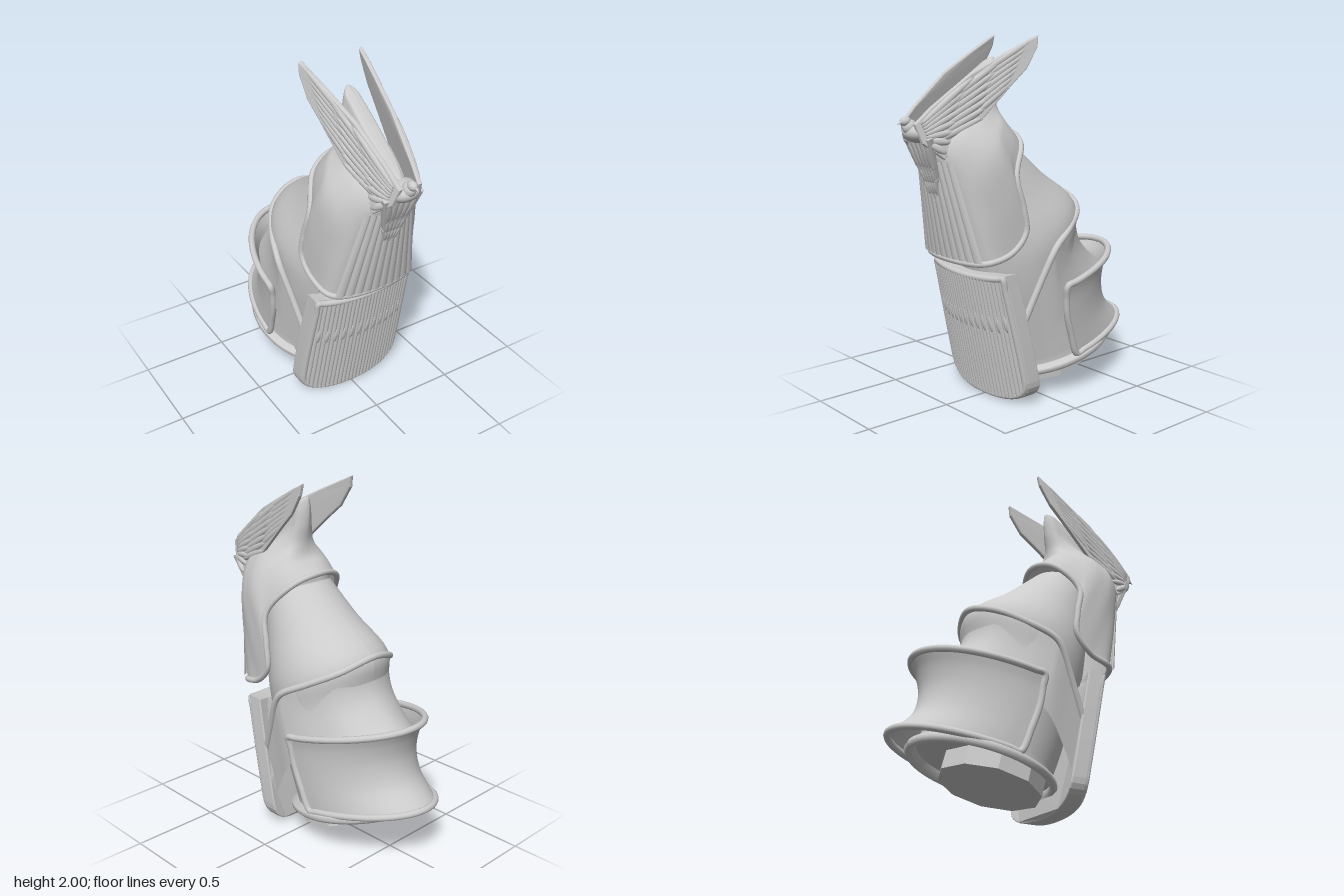
import * as THREE from 'three';
import { mergeGeometries } from 'three/addons/utils/BufferGeometryUtils.js';

const V = (x, y, z) => new THREE.Vector3(x, y, z);
const lerp = THREE.MathUtils.lerp;
const mat = new THREE.MeshStandardMaterial({ color: 0xcccccc, side: THREE.DoubleSide });
const flat = new THREE.MeshStandardMaterial({ color: 0xcccccc, flatShading: true });

function add(parent, name, geo, material = mat) {
  const m = new THREE.Mesh(geo, material);
  m.name = name;
  parent.add(m);
  return m;
}

// Grid surface from a rule fn(u, v) -> Vector3
function grid(nu, nv, fn) {
  const pos = [], idx = [];
  for (let j = 0; j <= nv; j++)
    for (let i = 0; i <= nu; i++) {
      pos.push(...fn(i / nu, j / nv).toArray());
      if (i < nu && j < nv) {
        const a = j * (nu + 1) + i, c = a + nu + 1;
        idx.push(a, a + 1, c, a + 1, c + 1, c);
      }
    }
  const g = new THREE.BufferGeometry();
  g.setAttribute('position', new THREE.Float32BufferAttribute(pos, 3));
  g.setIndex(idx);
  g.computeVertexNormals();
  return g;
}

// Mirrors a half rail (back centre to front) into a full curve
function rail(half, closed) {
  const neg = p => V(-p.x, p.y, p.z);
  const pts = closed
    ? [...half, ...half.slice(1, -1).reverse().map(neg)]
    : [...half.slice(1).reverse().map(neg), ...half];
  return new THREE.CatmullRomCurve3(pts, closed, 'centripetal');
}

// Smooth surface through rails listed from top to bottom
function loft(rails, nu = 72, nv = 24) {
  const cols = [];
  for (let i = 0; i <= nu; i++)
    cols.push(new THREE.CatmullRomCurve3(rails.map(r => r.getPoint(i / nu))));
  return grid(nu, nv, (u, v) => cols[Math.round(u * nu)].getPoint(v));
}

const tube = (curve, r, closed, n = 120) => new THREE.TubeGeometry(curve, n, r, 10, closed);

// Tilted elliptic half ring; f and b are front and back [z, y]
function arc(f, b, w, sweep) {
  const half = [];
  for (let k = 0; k <= 8; k++) {
    const a = k / 8 * sweep;
    const t = sweep > 2 ? (1 - Math.cos(a)) / 2 : 1 - Math.cos(a);
    half.push(V(w * Math.sin(a), lerp(b[1], f[1], t), lerp(b[0], f[0], t)));
  }
  return half;
}

// Row of raised flutes on a surface at(u, v), u from -1 to 1
function fluted(n, amp, at) {
  return grid(n * 8, 24, (s, v) => {
    const p = at(s * 2 - 1, v);
    p.z += amp * Math.sqrt(Math.abs(Math.sin(Math.PI * n * s)));
    return p;
  });
}

function mirrored(geo) {
  const g = geo.clone().scale(-1, 1, 1);
  for (const a of Object.values(g.attributes))
    for (let i = 0; i < a.count; i += 3)
      for (let k = 0; k < a.itemSize; k++) {
        const t = a.getComponent(i + 1, k);
        a.setComponent(i + 1, k, a.getComponent(i + 2, k));
        a.setComponent(i + 2, k, t);
      }
  return g;
}

// Wing blade, leaning outwards to the back and towards its lower edge
function wingGeometry() {
  const wx = (z, y) => 0.182 - 0.175 * z + 0.13 * Math.max(0, 2 - 0.62 * z - y);
  const outline = [[.71, 1.56], [.62, 1.64], [.4, 1.8], [.2, 1.9], [.01, 1.99], [.02, 1.94], [.09, 1.83],
    [.18, 1.75], [.37, 1.57], [.5, 1.48], [.58, 1.39], [.68, 1.47]];
  const shape = new THREE.Shape(outline.map(([z, y]) => new THREE.Vector2(-z, y)));
  const blade = new THREE.ExtrudeGeometry(shape, { depth: 0.014, bevelSize: 0.008, bevelThickness: 0.006, bevelSegments: 2 });
  const p = blade.attributes.position;
  for (let i = 0; i < p.count; i++) {
    const z = -p.getX(i), y = p.getY(i);
    p.setXYZ(i, wx(z, y) + p.getZ(i) - 0.007, y, z);
  }
  blade.computeVertexNormals();
  const parts = [blade];
  // Fan of feathers between two start and two end points, all [z, y]
  const fan = (n, s0, s1, e0, e1, width, lift) => {
    for (let i = 0; i < n; i++) {
      const t = i / (n - 1);
      const pt = (a, b) => {
        const z = lerp(a[0], b[0], t), y = lerp(a[1], b[1], t);
        return V(wx(z, y) + lift, y, z);
      };
      const a = pt(s0, s1), b = pt(e0, e1);
      const d = b.clone().sub(a), len = d.length() / 2;
      d.normalize();
      const n1 = V(1, 0, 0).addScaledVector(d, -d.x).normalize(), n2 = d.clone().cross(n1);
      const m = new THREE.Matrix4().makeBasis(d.multiplyScalar(len), n1.multiplyScalar(0.015), n2.multiplyScalar(width));
      m.setPosition(a.add(b).multiplyScalar(0.5));
      parts.push(new THREE.SphereGeometry(1, 16, 10).applyMatrix4(m));
    }
  };
  fan(7, [.46, 1.74], [.42, 1.58], [.01, 1.99], [.17, 1.76], .02, .004);
  fan(7, [.66, 1.59], [.62, 1.47], [.21, 1.88], [.36, 1.58], .021, .01);
  fan(8, [.69, 1.56], [.66, 1.47], [.39, 1.79], [.57, 1.41], .02, .014);
  return mergeGeometries(parts.map(g => (g.index ? g.toNonIndexed() : g)));
}

export function createModel() {
  const root = new THREE.Group();

  // Inner body (the doubled ring keeps its lower edge sharp) and the plug under it
  const ring = (f, b, w) => rail(arc(f, b, w, Math.PI), true);
  const bottom = ring([.13, .15], [-.59, .32], .3);
  add(root, 'body', loft([
    ring([.42, 1.3], [.08, 1.43], .2), ring([.38, 1.05], [-.12, 1.26], .26), ring([.34, .8], [-.345, 1.085], .33),
    ring([.29, .6], [-.35, .9], .32), ring([.22, .38], [-.45, .72], .305), bottom, bottom,
    ring([-.1, .2], [-.25, .24], .08)], 72, 35));
  const plug = add(root, 'basePlug', new THREE.CylinderGeometry(.28, .28, .2, 10), flat);
  plug.position.set(0, .216, -.171);
  plug.rotation.x = .24;

  // Upper back plate: hollow sweep from the rim down into the cuff, and a raised rim
  const rim = [V(0, 1.1, -.35), V(.2, 1.04, -.285), V(.305, .955, -.13), V(.35, .885, 0), V(.354, .84, .04),
    V(.325, .65, .125), V(.298, .47, .2)];
  const hem = [V(0, .68, -.6), V(.2, .65, -.49), V(.31, .57, -.24), V(.335, .5, -.1), V(.335, .45, -.03),
    V(.31, .32, .06), V(.285, .17, .14)];
  const tier = [0, .25, .5, .75, 1].map(t => rail(rim.map((p, i) => {
    const q = p.clone().lerp(hem[i], t);
    q.z += .1 * Math.sin(Math.PI * t) * Math.max(0, 1 - i / 4);
    return q;
  }), false));
  add(root, 'backPlate', loft(tier));
  add(root, 'backPlateRim', tube(tier[0], .019, false));

  // Lower flared cuff with a rim along all four edges
  const cuff = [
    [[-.065, .65], [-.645, .775], .367], [[-.07, .58], [-.61, .69], .352], [[-.085, .48], [-.595, .58], .342],
    [[-.125, .36], [-.63, .46], .332], [[-.185, .225], [-.755, .34], .322],
  ].map(([f, b, w]) => rail(arc(f, b, w, Math.PI / 2), false));
  add(root, 'cuff', loft(cuff));
  const inner = cuff.slice(1, -1);
  const edge = [...cuff[0].getPoints(32), ...inner.map(r => r.getPoint(1)),
    ...cuff[4].getPoints(32).reverse(), ...inner.map(r => r.getPoint(0)).reverse()];
  add(root, 'cuffRim', tube(new THREE.CatmullRomCurve3(edge, true), .019, true, 260));

  // Hood: sloping blunt crest on top, shoulders, open rim below
  const crest = (zBack, w, drop) => Array.from({ length: 8 }, (_, k) => {
    const s = k / 7, z = lerp(zBack, .655, s ** 1.4);
    return V(w * Math.max(0, Math.sin(Math.PI * s)) ** .25, 1.89 - .69 * (z - .17) - drop * (1 - .5 * s), z);
  });
  const neck = [V(0, 1.63, .17), V(.07, 1.63, .19), V(.12, 1.6, .26), V(.145, 1.58, .36),
    V(.155, 1.54, .43), V(.15, 1.5, .5), V(.1, 1.43, .58), V(0, 1.42, .62)];
  const shoulder = [V(0, 1.56, .155), V(.12, 1.56, .18), V(.21, 1.5, .28), V(.25, 1.43, .34),
    V(.25, 1.38, .4), V(.235, 1.32, .46), V(.165, 1.27, .53), V(0, 1.26, .56)];
  const opening = [V(0, 1.48, .06), V(.17, 1.43, .11), V(.265, 1.27, .22), V(.29, 1.1, .19),
    V(.295, .97, .18), V(.285, .87, .27), V(.25, .83, .41), V(0, .82, .465)];
  const side = shoulder.map((p, i) => p.clone().lerp(opening[i], .5).multiply(V(1.05, 1, 1)));
  const hood = [crest(.18, 0, 0), crest(.16, .04, .01), crest(.15, .052, .06), crest(.155, .068, .16), neck, shoulder, side, opening]
    .map(h => rail(h, true));
  add(root, 'hood', loft(hood, 84, 42));
  add(root, 'hoodRim', tube(hood[7], .017, true, 160));
  add(root, 'hoodFlutes', fluted(10, .01, (u, v) =>
    V(u * lerp(.25, .15, v), .835 + .53 * v, .485 + .11 * v - .045 * u * u)));

  // Front apron: curved slab, rim, flutes and a row of beads
  const apron = new THREE.Group();
  apron.name = 'apron';
  root.add(apron);
  const outline = new THREE.Shape();
  outline.moveTo(0, .735);
  outline.quadraticCurveTo(.2, .735, .3, .755);
  outline.bezierCurveTo(.315, .5, .325, .3, .325, .14);
  outline.bezierCurveTo(.325, .03, .2, .007, 0, .007);
  outline.bezierCurveTo(-.2, .007, -.325, .03, -.325, .14);
  outline.bezierCurveTo(-.325, .3, -.315, .5, -.3, .755);
  outline.quadraticCurveTo(-.2, .735, 0, .735);
  const frontZ = (x, y) => .22 + .21 * y - .5 * x * x;
  const slab = new THREE.ExtrudeGeometry(outline, { depth: .075, bevelSize: .006, bevelThickness: .01, bevelSegments: 2, curveSegments: 10 });
  const sp = slab.attributes.position;
  for (let i = 0; i < sp.count; i++)
    sp.setZ(i, frontZ(sp.getX(i), sp.getY(i)) + sp.getZ(i) - .08);
  slab.computeVertexNormals();
  add(apron, 'apronSlab', slab);
  const rimPts = outline.getPoints(10).slice(0, -1).map(p => V(p.x * .96, .4 + (p.y - .4) * .97, frontZ(p.x, p.y) + .004));
  add(apron, 'apronRim', tube(new THREE.CatmullRomCurve3(rimPts, true), .018, true, 200));
  const apronAt = (u, v) => {
    const y = lerp(.025 + .07 * u ** 6, .725, v);
    return V(u * lerp(.305, .285, v), y, .235 + .21 * y - .055 * u * u);
  };
  add(apron, 'apronFlutes', fluted(24, .013, apronAt));
  for (let i = 0; i < 12; i++) {
    const bead = add(apron, 'apronBead', new THREE.SphereGeometry(1, 12, 8));
    bead.position.copy(apronAt((i - 5.5) / 6, .63)).z += .004;
    bead.scale.set(.016, .05, .013);
    bead.rotation.x = .2;
  }

  // Bird ornament: wings, breast, head, beak and layered tail
  const bird = new THREE.Group();
  bird.name = 'bird';
  root.add(bird);
  const wing = wingGeometry();
  add(bird, 'leftWing', wing);
  add(bird, 'rightWing', mirrored(wing));
  const ball = (name, y, z, sx, sy, sz) => {
    const b = add(bird, name, new THREE.SphereGeometry(1, 24, 16));
    b.position.set(0, y, z);
    b.scale.set(sx, sy, sz);
  };
  ball('breast', 1.515, .65, .09, .055, .085);
  ball('neck', 1.545, .705, .035, .04, .04);
  ball('head', 1.575, .73, .024, .025, .032);
  const beak = add(bird, 'beak', new THREE.ConeGeometry(.013, .045, 10));
  beak.position.set(0, 1.57, .763);
  beak.rotation.x = 2;
  for (const [y, z, w, h] of [[1.49, .65, .115, .2], [1.35, .598, .078, .13], [1.27, .57, .06, .1]]) {
    const s = new THREE.Shape([[-w, 0], [-.65 * w, -.8 * h], [0, -h], [.65 * w, -.8 * h], [w, 0]].map(p => new THREE.Vector2(...p)));
    const tail = add(bird, 'tailLayer', new THREE.ExtrudeGeometry(s, { depth: .018, bevelSize: .005, bevelThickness: .006, bevelSegments: 2 }));
    tail.position.set(0, y, z);
    tail.rotation.x = .34;
    for (let i = -2; i <= 2; i++) {
      const q = add(tail, 'tailFeather', new THREE.SphereGeometry(1, 10, 8));
      q.position.set(i * w * .3, -.42 * h, .022);
      q.scale.set(w * .17, h * .4, .007);
      q.rotation.z = -i * .1;
    }
  }
  return root;
}
